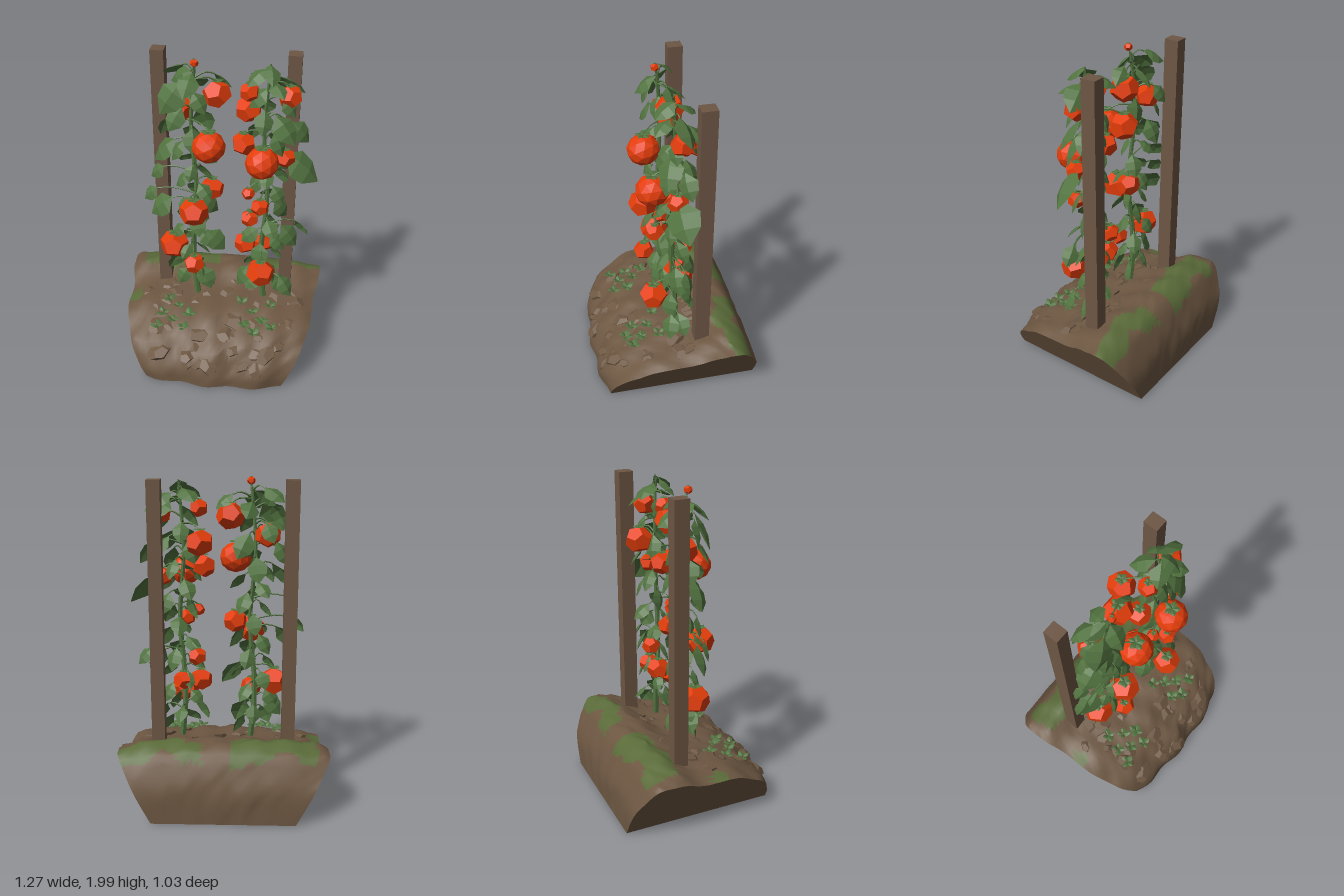
import * as THREE from 'three';
import { toCreasedNormals } from 'three/addons/utils/BufferGeometryUtils.js';

const paint = (name, color, opts = {}) =>
  Object.assign(new THREE.MeshStandardMaterial({ color, ...opts }), { name });
const V = (x, y, z) => new THREE.Vector3(x, y, z);

function createRandom(seed) {
  return () => {
    seed = (seed * 16807) % 2147483647;
    return seed / 2147483647;
  };
}

// Soil cross-section from the front foot over the crest to the back foot (z, y)
const soilProfile = new THREE.CatmullRomCurve3([
  [0.505, 0], [0.495, 0.08], [0.42, 0.2], [0.3, 0.285], [0.15, 0.35], [-0.08, 0.375],
  [-0.22, 0.43], [-0.3, 0.44], [-0.39, 0.405], [-0.45, 0.31], [-0.495, 0.19], [-0.505, 0],
].map(([z, y]) => V(0, y, z)), false, 'centripetal');
const ROWS = 34, COLS = 34;

function soilPoint(i, j) {
  const p = soilProfile.getPoint(i / ROWS);
  const u = (j / COLS) * 2 - 1;
  const foot = Math.min(1, p.y / 0.15);
  const bump = Math.sin(i * 0.7 + j * 0.4) * Math.sin(j * 0.75 - i * 0.35) + 0.4 * Math.sin(i * 1.9) * Math.sin(j * 1.7);
  const y = Math.max(0, p.y * (1 - 0.13 * u ** 4) + foot * 0.011 * bump);
  const x = u * (0.43 + 0.54 * y);
  const front = Math.max(0, p.z) * 2;
  const z = p.z + front * (-0.045 * u * u + 0.012 * Math.sin(u * 9 + 2.5) - 0.008)
    + foot * (1 - u * u) * 0.01 * bump;
  return V(x, y, z);
}

function isGrass(c) {
  const edge = 0.03 * Math.sin(c.x * 13) + 0.015 * Math.sin(c.x * 31);
  const left = c.x > 0.13 && c.x < 0.63, right = c.x > -0.56 && c.x < -0.03;
  const band = (right && c.z > -0.41 + edge && c.z < -0.21 + edge) ||
    (left && c.z > -0.41 - edge && c.z < -0.28 - edge);
  return (band && c.y > 0.33) || Math.hypot(c.x + 0.56, c.z - 0.04) < 0.055;
}

function moundGeometry() {
  const soil = [], grass = [];
  const tri = (list, ...pts) => pts.forEach(p => list.push(p.x, p.y, p.z));
  const quad = (a, b, c, d) => { tri(soil, a, b, c); tri(soil, a, c, d); };
  const grid = Array.from({ length: ROWS + 1 }, (_, i) =>
    Array.from({ length: COLS + 1 }, (_, j) => soilPoint(i, j)));
  const foot = p => V(0.43 * Math.sign(p.x), 0, p.z);
  for (let i = 0; i < ROWS; i++) {
    for (let j = 0; j < COLS; j++) {
      const a = grid[i][j], b = grid[i][j + 1], c = grid[i + 1][j + 1], d = grid[i + 1][j];
      for (const t of [[a, b, c], [a, c, d]]) {
        const mid = V(0, 0, 0).add(t[0]).add(t[1]).add(t[2]).divideScalar(3);
        tri(isGrass(mid) ? grass : soil, ...t);
      }
    }
    // Slanted side walls
    const r0 = grid[i][COLS], r1 = grid[i + 1][COLS], l0 = grid[i][0], l1 = grid[i + 1][0];
    quad(foot(r0), foot(r1), r1, r0);
    quad(foot(l1), foot(l0), l0, l1);
  }
  // Underside
  for (let j = 0; j < COLS; j++)
    quad(grid[0][j], grid[ROWS][j], grid[ROWS][j + 1], grid[0][j + 1]);
  const geo = new THREE.BufferGeometry();
  geo.setAttribute('position', new THREE.Float32BufferAttribute(soil.concat(grass), 3));
  geo.addGroup(0, soil.length / 3, 0);
  geo.addGroup(soil.length / 3, grass.length / 3, 1);
  return toCreasedNormals(geo, 0.6);
}

// Broad leaf folded along its midrib, base at the origin, tip at y = 1
function leafGeometry() {
  const pos = [], index = [];
  for (let r = 0; r < 4; r++) {
    const t = r / 3, w = 0.02 + 0.4 * Math.sin(Math.PI * t ** 0.85);
    const z = 0.3 * t - 0.45 * t * t;
    pos.push(-w, t, z - w * 0.35, 0, t, z, w, t, z - w * 0.35);
    if (r === 3) break;
    for (let a = r * 3; a < r * 3 + 2; a++) index.push(a, a + 1, a + 4, a, a + 4, a + 3);
  }
  const geo = new THREE.BufferGeometry();
  geo.setAttribute('position', new THREE.Float32BufferAttribute(pos, 3));
  geo.setIndex(index);
  geo.computeVertexNormals();
  return geo;
}

function taperedTube(points, segments, r0, r1, sides) {
  const curve = new THREE.CatmullRomCurve3(points);
  const geo = new THREE.TubeGeometry(curve, segments, 1, sides);
  const pos = geo.attributes.position, p = V(0, 0, 0);
  for (let i = 0; i < pos.count; i++) {
    const t = Math.floor(i / (sides + 1)) / segments, c = curve.getPointAt(t);
    p.fromBufferAttribute(pos, i).sub(c).multiplyScalar(r0 + (r1 - r0) * t).add(c);
    pos.setXYZ(i, p.x, p.y, p.z);
  }
  return geo;
}

// Tomatoes: x, y, z, radius
const leftFruit = [[0.16, 1.8, 0.01, 0.055], [0.39, 1.77, -0.02, 0.068], [0.145, 1.62, -0.16, 0.08],
  [0.13, 1.46, -0.02, 0.07], [0.25, 1.41, 0.12, 0.1], [0.38, 1.39, 0, 0.058], [0.17, 1.17, 0.06, 0.038],
  [0.245, 1.11, 0.11, 0.053], [0.17, 0.91, -0.08, 0.056], [0.15, 0.75, -0.04, 0.07],
  [0.26, 0.75, -0.06, 0.06], [0.26, 0.64, 0.12, 0.085]];
const rightFruit = [[-0.15, 1.96, 0.02, 0.024], [-0.03, 1.76, -0.04, 0.082], [-0.25, 1.65, -0.05, 0.075],
  [-0.06, 1.49, 0.11, 0.1], [-0.06, 1.13, -0.05, 0.07], [-0.155, 1.04, 0.1, 0.087], [-0.3, 0.73, 0, 0.09],
  [-0.16, 0.66, 0.1, 0.063]];

// Large outer leaves: x, y, length
const leftLeaves = [[0.2, 1.91, 0.14], [0.29, 1.93, 0.14], [0.4, 1.85, 0.19], [0.38, 1.6, 0.2], [0.47, 1.55, 0.16],
  [0.49, 1.34, 0.26], [0.43, 0.86, 0.17], [0.5, 0.9, 0.13], [0.13, 0.54, 0.15], [0.42, 0.5, 0.15]];
const rightLeaves = [[-0.29, 1.76, 0.22], [-0.24, 1.87, 0.15], [0.01, 1.85, 0.13], [-0.35, 1.41, 0.19], [-0.4, 1.24, 0.12],
  [-0.44, 1.1, 0.12], [-0.38, 1.02, 0.19], [-0.03, 0.79, 0.17], [-0.3, 0.59, 0.16], [-0.09, 0.52, 0.16]];

const vines = [
  { name: 'leftVine', stemX: 0.265, fruit: leftFruit, leaves: leftLeaves },
  { name: 'rightVine', stemX: -0.165, fruit: rightFruit, leaves: rightLeaves },
];

export function createModel() {
  const rand = createRandom(4217);
  const soil = paint('soil brown', 0x6d5742);
  const grass = paint('grass green', 0x5a6b39);
  const wood = paint('stake wood', 0x6e5745);
  const green = paint('leaf green', 0x527340, { flatShading: true, side: THREE.DoubleSide });
  const red = paint('tomato red', 0xe43d0a, { flatShading: true });
  const model = new THREE.Group();
  const add = (parent, name, geo, mat) => {
    const mesh = new THREE.Mesh(geo, mat);
    mesh.name = name;
    parent.add(mesh);
    return mesh;
  };

  add(model, 'soilMound', moundGeometry(), [soil, grass]);

  // Half-buried clods
  const clodGeo = new THREE.DodecahedronGeometry(1, 0);
  for (let k = 0; k < 44; k++) {
    const p = soilPoint(5 + Math.floor(rand() * 13), 3 + Math.floor(rand() * 29));
    const s = 0.03 + rand() * 0.045;
    const clod = add(model, 'soilClod', clodGeo, soil);
    clod.position.set(p.x, p.y - s * 0.32, p.z - s * 0.1);
    clod.scale.set(s * 1.3, s * 0.5, s);
    clod.rotation.set(0.45, rand() * 6, rand() * 0.5 - 0.25);
  }

  // Stakes
  for (const x of [-0.387, 0.407])
    add(model, 'stake', new THREE.BoxGeometry(0.08, 1.68, 0.09), wood).position.set(x, 1.14, -0.145);

  // Leaf centred on c, pointing along tip, its face toward facing; returns its base
  const leafGeo = leafGeometry();
  const addLeaf = (parent, name, c, tip, facing, len) => {
    const y = tip.clone().normalize(), x = y.clone().cross(facing).normalize();
    const leaf = add(parent, name, leafGeo, green);
    leaf.quaternion.setFromRotationMatrix(new THREE.Matrix4().makeBasis(x, y, x.clone().cross(y)));
    leaf.scale.setScalar(len);
    leaf.position.copy(c).addScaledVector(y, -len / 2);
    return leaf.position;
  };

  const smallFruit = new THREE.DodecahedronGeometry(1.07, 0);
  const largeFruit = new THREE.IcosahedronGeometry(1, 1);
  for (const vine of vines) {
    const group = new THREE.Group();
    group.name = vine.name;
    model.add(group);

    // Gently swaying stem
    const stemAt = y => V(vine.stemX + 0.015 * Math.sin(y * 7), Math.min(y, 1.93), 0.012 * Math.cos(y * 6));
    const path = Array.from({ length: 12 }, (_, k) => stemAt(0.32 + k * 0.146));
    add(group, 'stem', taperedTube(path, 24, 0.021, 0.01, 6), green);
    const stalk = (name, end, rise) => {
      const start = stemAt(end.y + rise);
      const mid = start.clone().lerp(end, 0.6).add(V(0, 0.02, 0));
      add(group, name, taperedTube([start, mid, end], 5, 0.006, 0.004, 4), green);
    };

    // Tomatoes with a small star-shaped calyx
    for (const [x, y, z, r] of vine.fruit) {
      const tomato = add(group, 'tomato', r > 0.095 ? largeFruit : smallFruit, red);
      tomato.position.set(x, y, z);
      tomato.scale.set(r, r * 0.93, r);
      tomato.rotation.set(rand() * 0.6, rand() * 6, 0);
      for (let k = 0; k < 5; k++) {
        const a = k * Math.PI * 0.4 + x * 9, out = V(Math.cos(a), 0.25, Math.sin(a));
        addLeaf(group, 'calyx', V(x, y + r * 0.95, z).addScaledVector(out, r * 0.24), out, V(0, 1, 0), r * 0.48);
      }
      stalk('fruitStalk', V(x, y + r * 0.92, z), 0.02);
    }

    // Large outer leaves, then smaller ones spiralling up the stem and spreading at the top
    const side = Math.sign(vine.stemX);
    const leaves = vine.leaves.map(([x, y, len]) => [V(x, y, 0.01 + 0.05 * Math.sin(y * 40)), len]);
    for (let k = 0; k < 34; k++) {
      const y = 0.46 + k * 0.0435, a = k * 2.4, crown = y > 1.45 ? 1 : 0;
      const reach = 0.07 + rand() * 0.03 + crown * 0.02;
      const c = stemAt(y).add(V(Math.cos(a) * reach * 1.1 + side * (0.01 + 0.03 * crown), 0, Math.sin(a) * reach - 0.015));
      leaves.push([c, 0.1 + rand() * 0.05 + crown * 0.02]);
    }
    for (const [c, len] of leaves) {
      const out = c.clone().sub(stemAt(c.y)).setY(0).normalize();
      const droop = c.y > 1.8 ? -0.2 - rand() * 0.2 : -0.45 - rand() * 0.5;
      const tip = out.clone().multiplyScalar(0.5 + rand() * 0.25).add(V(0, droop, 0));
      const facing = V(rand() - 0.5 + out.x * 0.4, 0.8, c.z < -0.03 ? -0.7 : 0.7);
      stalk('leafStalk', addLeaf(group, 'leaf', c, tip, facing, len), -0.02);
    }
  }

  // Two patches of sprouts on the front slope
  for (let k = 0; k < 14; k++) {
    const p = soilPoint(9 + (k * 2) % 5, (k < 7 ? 6 : 14) + k);
    for (let s = 0; s < 4; s++) {
      const a = s * 1.6 + k, out = V(Math.cos(a), 0.2 + rand() * 0.6, Math.sin(a));
      addLeaf(model, 'sprout', p.clone().add(V(0, 0.012, 0)).addScaledVector(out, 0.022), out, V(0, 1, 0), 0.035 + rand() * 0.025);
    }
  }
  return model;
}
